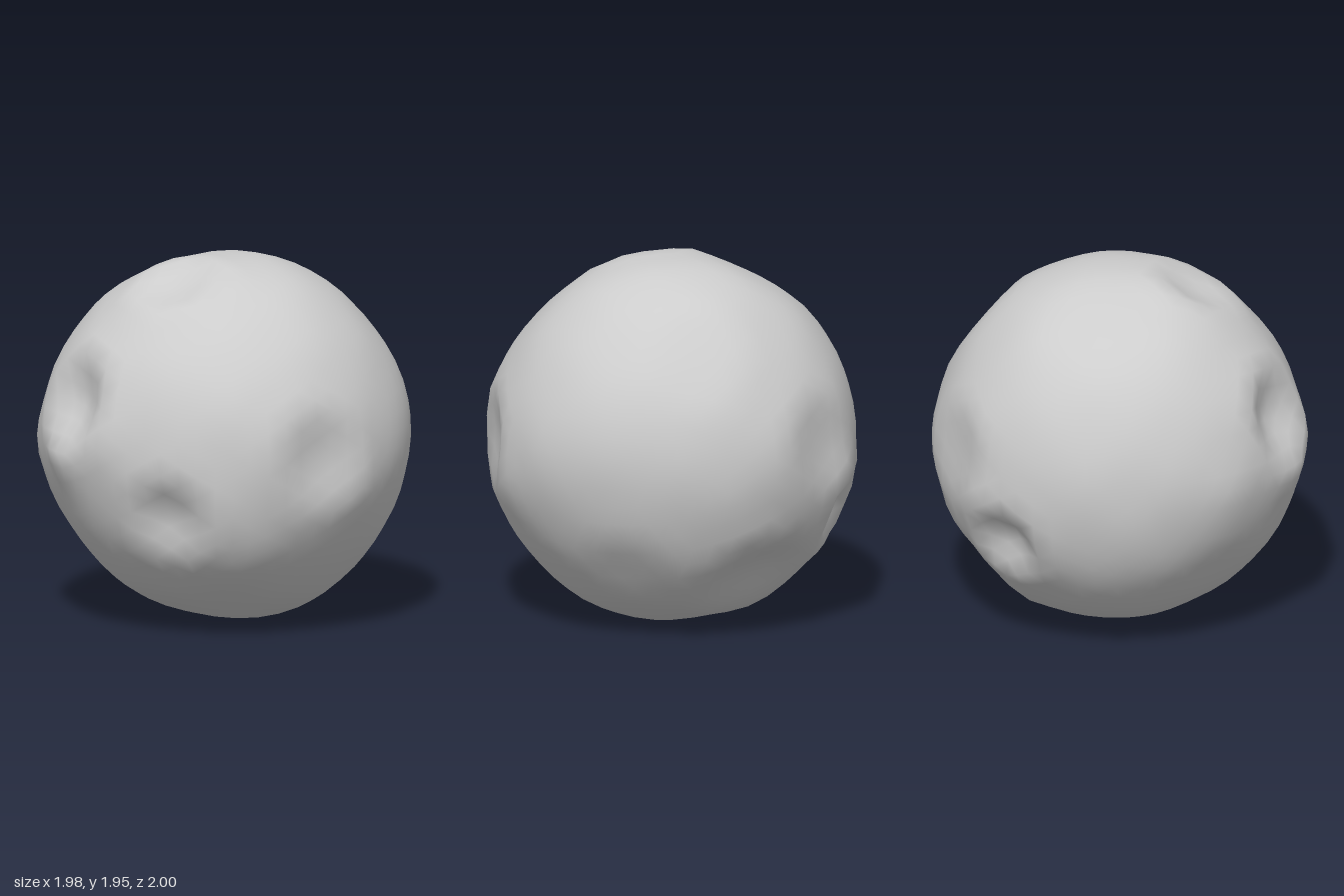
import * as THREE from 'three';
import { mergeVertices } from 'three/addons/utils/BufferGeometryUtils.js';

const feature = ([x, y, z, size, height, rim]) => ({
  dir: new THREE.Vector3(x, y, z).normalize(), size, height, rim,
});

// craters: direction x, y, z, angular radius, bowl depth, rim height
const CRATERS = [
  [-0.34, -0.30, 0.85, 0.23, 0.08, 0.015],
  [0.47, 0.01, 0.82, 0.27, 0.06, 0.012],
  [-0.80, 0.26, 0.42, 0.27, 0.10, 0.02],
  [-0.27, 0.88, 0.31, 0.25, 0.05, 0.015],
  [-0.15, -0.35, -0.90, 0.22, 0.095, 0.02],
  [0.37, -0.65, -0.62, 0.31, 0.075, 0.015],
  [0.22, 0.07, -0.94, 0.27, 0.04, 0.01],
  [0.77, -0.57, -0.07, 0.26, 0.015, 0.004],
  [-0.27, 0.76, -0.30, 0.35, 0.015, 0.005],
  [0.68, 0.60, -0.40, 0.28, 0.015, 0.005],
].map(feature);

// broad swells and hollows: direction x, y, z, angular width, height
const SWELLS = [
  [0.60, 0.00, -0.80, 0.35, 0.020],
  [0.90, 0.00, 0.40, 0.35, 0.020],
  [0.68, -0.20, 0.70, 0.22, 0.020],
  [0.10, 0.15, 1.00, 0.40, 0.022],
  [0.05, -0.50, 0.87, 0.32, 0.045],
  [0.35, -0.87, 0.35, 0.30, 0.020],
  [0.35, 0.87, 0.30, 0.30, 0.012],
  [0.35, 0.87, -0.35, 0.30, 0.018],
  [-0.87, -0.06, 0.48, 0.18, 0.040],
  [-0.70, 0.04, 0.70, 0.15, 0.020],
  [-1.00, 0.00, 0.00, 0.16, 0.028],
  [0.97, 0.25, 0.00, 0.30, 0.018],
  [0.40, -0.90, 0.00, 0.35, 0.010],
  [0.25, -0.80, -0.58, 0.20, 0.025],
  [0.00, -0.13, -1.00, 0.15, 0.020],
  [-0.70, -0.55, 0.00, 0.35, -0.032],
  [-0.80, 0.00, -0.55, 0.35, -0.015],
  [0.00, 0.70, 0.70, 0.35, -0.010],
  [-0.25, -0.90, 0.20, 0.30, -0.018],
].map(feature);

// radius of the rock along a unit direction
function surfaceRadius(d) {
  let r = 0.973;
  // fine unevenness
  r += 0.005 * Math.sin(11 * d.x + 2) * Math.sin(10 * d.y + 1) * Math.cos(9 * d.z);
  for (const s of SWELLS) {
    r += s.height * Math.exp(-Math.pow(d.angleTo(s.dir) / s.size, 2));
  }
  for (const c of CRATERS) {
    const t = d.angleTo(c.dir) / c.size;
    // soft rounded bowl
    if (t < 1.1) r -= c.height * Math.pow(1 - (t / 1.1) ** 2, 1.7);
    // low rim fading outwards
    r += c.rim * Math.exp(-Math.pow((t - 1.1) / 0.35, 2));
  }
  return r;
}

export function createModel() {
  const group = new THREE.Group();
  group.name = 'crateredMoon';
  const grey = new THREE.MeshStandardMaterial({ color: 0xcccccc });
  grey.name = 'rockGrey';

  // evenly divided ball with shared vertices for smooth shading
  let geometry = new THREE.IcosahedronGeometry(1, 10);
  geometry.deleteAttribute('normal');
  geometry.deleteAttribute('uv');
  geometry = mergeVertices(geometry, 1e-4);

  // push every vertex out to the rock surface
  const pos = geometry.attributes.position;
  const d = new THREE.Vector3();
  for (let i = 0; i < pos.count; i++) {
    d.fromBufferAttribute(pos, i).normalize();
    d.multiplyScalar(surfaceRadius(d));
    pos.setXYZ(i, d.x, d.y, d.z);
  }
  geometry.computeVertexNormals();

  // rest the lowest point on the ground
  geometry.computeBoundingBox();
  geometry.translate(0, -geometry.boundingBox.min.y, 0);

  const moon = new THREE.Mesh(geometry, grey);
  moon.name = 'moonSurface';
  group.add(moon);
  return group;
}
